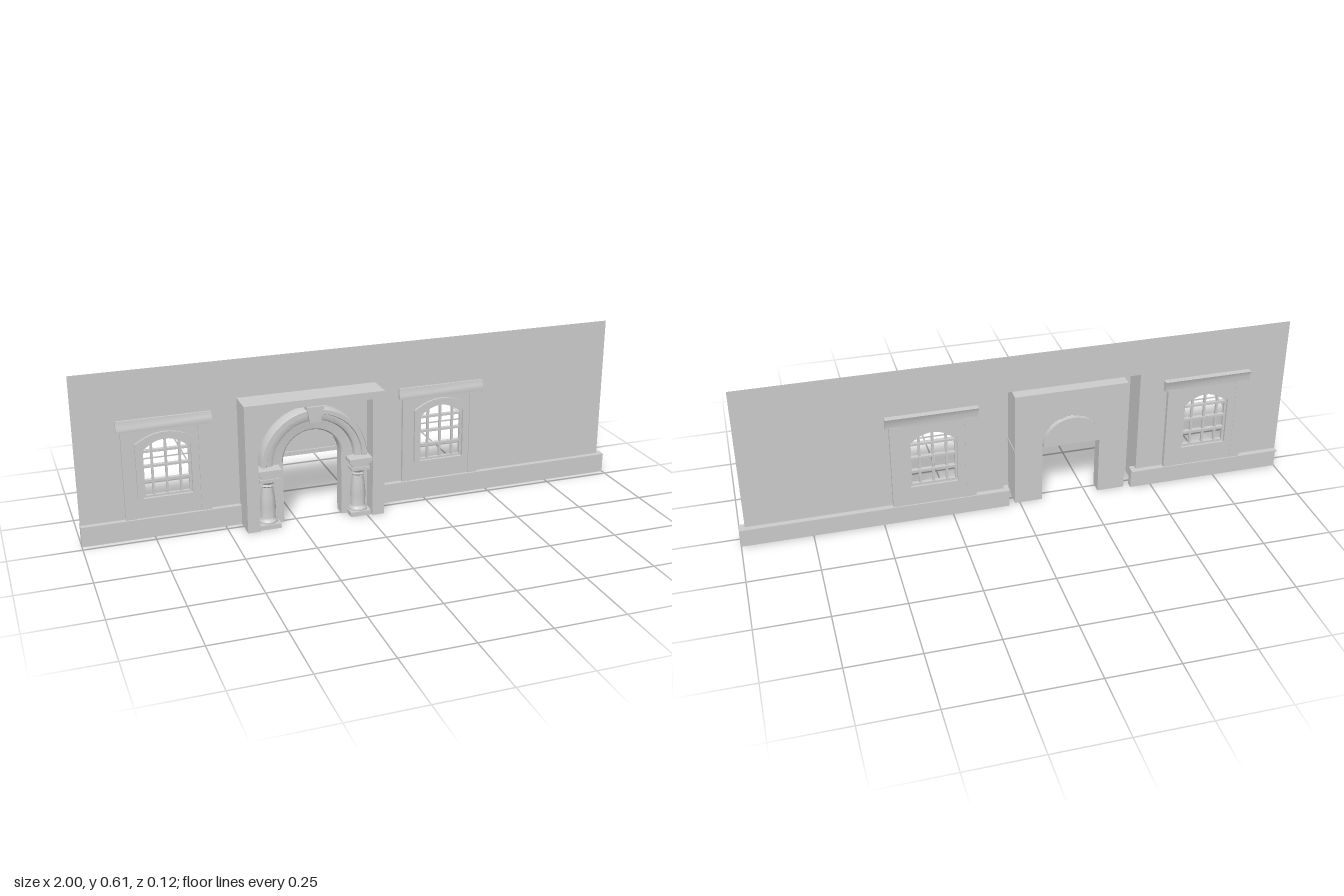
import * as THREE from 'three';
import { toCreasedNormals } from 'three/addons/utils/BufferGeometryUtils.js';

const material = new THREE.MeshStandardMaterial({ color: 0xcccccc, side: THREE.DoubleSide });
const WALL_Z = -0.038, DOOR_X = -0.19, WINDOWS = [-0.695, 0.315];

function add(parent, name, geometry, x = 0, y = 0, z = 0) {
  const mesh = new THREE.Mesh(geometry, material);
  mesh.name = name;
  mesh.position.set(x, y, z);
  parent.add(mesh);
  return mesh;
}

// Box given by its limits
function block(parent, name, x0, x1, y0, y1, z0, z1) {
  return add(parent, name, new THREE.BoxGeometry(x1 - x0, y1 - y0, z1 - z0),
    (x0 + x1) / 2, (y0 + y1) / 2, (z0 + z1) / 2);
}

const poly = (pts) => new THREE.Shape(pts.map(([x, y]) => new THREE.Vector2(x, y)));
const rect = (x0, x1, y0, y1) => poly([[x0, y0], [x1, y0], [x1, y1], [x0, y1]]);

// Flat shape given thickness from z0 to z1
function slab(shape, z0, z1) {
  const g = new THREE.ExtrudeGeometry(shape, { depth: z1 - z0, bevelEnabled: false, curveSegments: 16 });
  g.translate(0, 0, z0);
  return toCreasedNormals(g, 0.6);
}

// Open sheet that follows a line in x,y and runs from z0 to z1
function sheet(pts, z0, z1) {
  const v = [];
  for (let i = 0; i < pts.length - 1; i++) {
    const [ax, ay] = pts[i], [bx, by] = pts[i + 1];
    v.push(ax, ay, z0, ax, ay, z1, bx, by, z1, ax, ay, z0, bx, by, z1, bx, by, z0);
  }
  const g = new THREE.BufferGeometry();
  g.setAttribute('position', new THREE.Float32BufferAttribute(v, 3));
  g.computeVertexNormals();
  return g;
}

// Opening with a shallow curved head
function windowOutline(cx, half, y0, spring, top) {
  const pts = [[cx - half, y0], [cx + half, y0]];
  for (let i = 0; i <= 12; i++) {
    const t = 1 - i / 6;
    pts.push([cx + half * t, spring + (top - spring) * (1 - t * t)]);
  }
  return poly(pts);
}

// Round-headed outline of the doorway
function doorOutline(r, spring, y0) {
  const pts = [[-r, y0], [r, y0]];
  for (let i = 0; i <= 24; i++) {
    const a = Math.PI * i / 24;
    pts.push([r * Math.cos(a), spring + r * Math.sin(a)]);
  }
  return poly(pts);
}

function makeWindow(cx) {
  const g = new THREE.Group();
  g.name = 'window';
  const hole = () => windowOutline(0, 0.085, 0.145, 0.325, 0.362);

  // Raised surround on both faces of the wall
  const surround = rect(-0.15, 0.15, 0.068, 0.4);
  surround.holes.push(hole());
  add(g, 'windowSurround', slab(surround, -0.053, -0.03));
  for (const s of [-1, 1]) {
    const [a, b] = [s * 0.113, s * 0.15].sort((p, q) => p - q);
    block(g, 'windowPilaster', a, b, 0.068, 0.395, -0.054, -0.026);
  }

  // Architrave round the opening
  const trim = windowOutline(0, 0.105, 0.145, 0.345, 0.382);
  trim.holes.push(windowOutline(0, 0.085, 0.147, 0.325, 0.362));
  add(g, 'windowArchitrave', slab(trim, -0.045, -0.021));

  // Moulded cap, profile in z,y run along x
  const cap = poly([[-0.053, 0.392], [-0.025, 0.392], [-0.024, 0.405], [-0.028, 0.415],
    [-0.03, 0.432], [-0.061, 0.432], [-0.054, 0.415]]);
  const capGeo = slab(cap, -0.163, 0.163);
  capGeo.rotateY(-Math.PI / 2);
  add(g, 'windowCap', capGeo);

  // Sash frame and glazing bars
  const sash = hole();
  sash.holes.push(windowOutline(0, 0.077, 0.153, 0.318, 0.353));
  add(g, 'sashFrame', slab(sash, -0.044, -0.032));
  for (const x of [-0.048, 0, 0.048])
    block(g, 'verticalGlazingBar', x - 0.004, x + 0.004, 0.15, x ? 0.345 : 0.358, -0.043, -0.034);
  for (const y of [0.205, 0.258, 0.313])
    block(g, 'horizontalGlazingBar', -0.08, 0.08, y - 0.004, y + 0.004, -0.047, -0.032);
  g.position.x = cx;
  return g;
}

function makeColumn(side) {
  const g = new THREE.Group();
  g.name = 'column';
  const step = (name, half, y0, y1) => block(g, name, -half, half, y0, y1, -half, half);
  step('columnPlinth', 0.038, 0, 0.017);
  const profile = [[0.034, 0.017], [0.034, 0.023], [0.028, 0.03], [0.026, 0.036], [0.028, 0.075],
    [0.025, 0.115], [0.02, 0.15], [0.025, 0.155], [0.022, 0.162], [0.033, 0.178]];
  const lathe = new THREE.LatheGeometry(profile.map(([r, y]) => new THREE.Vector2(r, y)), 20);
  add(g, 'columnShaft', toCreasedNormals(lathe, 0.6));
  step('capital', 0.034, 0.174, 0.186);
  step('impostBlock', 0.03, 0.186, 0.2);
  step('impostLedge', 0.037, 0.2, 0.208);
  step('impostTop', 0.043, 0.208, 0.222);
  g.position.set(side * 0.167, 0, 0.017);
  return g;
}

function makePortal() {
  const g = new THREE.Group();
  g.name = 'portal';
  const path = (half, top) => [[-half, 0], [-half, top], [half, top], [half, 0]];
  const outer = path(0.252, 0.466), inner = path(0.208, 0.44);

  // Hollow frame, open at the back
  add(g, 'portalOuterFrame', sheet(outer, WALL_Z, 0.062));
  add(g, 'portalFrameReturn', sheet(inner, -0.036, 0.062));
  add(g, 'portalFrontFrame', new THREE.ShapeGeometry(poly([...outer, ...inner.reverse()])), 0, 0, 0.062);

  // Recessed wall with the round-headed doorway
  const arch = [];
  for (let i = 0; i <= 24; i++) {
    const a = Math.PI * i / 24;
    arch.push([0.107 * Math.cos(a), 0.23 + 0.107 * Math.sin(a)]);
  }
  const panel = poly([[-0.208, 0], [-0.208, 0.44], [0.208, 0.44], [0.208, 0], [0.107, 0], ...arch, [-0.107, 0]]);
  add(g, 'portalPanel', slab(panel, -0.036, 0));

  // Moulded arch, profile in radius and depth
  const ring = [[0.107, -0.036], [0.107, 0.012], [0.112, 0.018], [0.145, 0.022], [0.15, 0.036],
    [0.158, 0.04], [0.172, 0.04], [0.175, 0.047], [0.19, 0.047], [0.194, 0.038], [0.194, 0]];
  const archGeo = new THREE.LatheGeometry(ring.map(([r, z]) => new THREE.Vector2(r, -z)),
    32, -Math.PI / 2, Math.PI);
  archGeo.rotateX(-Math.PI / 2);
  add(g, 'archMoulding', toCreasedNormals(archGeo, 0.5), 0, 0.23, 0);

  // Keystone
  add(g, 'keystone', slab(poly([[-0.02, 0.378], [0.02, 0.378], [0.027, 0.425], [-0.027, 0.425]]), 0, 0.056));
  block(g, 'keystoneCap', -0.03, 0.03, 0.423, 0.436, 0, 0.06);

  // Panel closing the head of the doorway
  const lunette = doorOutline(0.107, 0.23, 0.23);
  add(g, 'lunette', slab(lunette, -0.053, -0.038));
  block(g, 'transomBar', -0.107, 0.107, 0.23, 0.245, -0.053, -0.032);

  // Jambs and columns
  for (const s of [-1, 1]) {
    const [a, b] = [s * 0.107, s * 0.145].sort((p, q) => p - q);
    block(g, 'doorJamb', a, b, 0, 0.23, -0.036, 0.012);
    g.add(makeColumn(s));
  }
  g.position.x = DOOR_X;
  return g;
}

export function createModel() {
  const model = new THREE.Group();
  model.name = 'facade';

  // Thin wall with openings for the portal and windows
  const l = DOOR_X - 0.252, r = DOOR_X + 0.252;
  const wall = poly([[-1, 0], [l, 0], [l, 0.466], [r, 0.466], [r, 0], [0.98, 0], [0.98, 0.605], [-1, 0.605]]);
  for (const x of WINDOWS) wall.holes.push(windowOutline(x, 0.085, 0.145, 0.325, 0.362));
  add(model, 'wall', new THREE.ShapeGeometry(wall), 0, 0, WALL_Z);

  // Skirting with a thin ledge on each side of the portal
  for (const [x0, x1] of [[-1, l + 0.02], [r - 0.02, 1]]) {
    block(model, 'skirting', x0, x1, 0, 0.068, -0.047, -0.022);
    block(model, 'skirtingLedge', x0, x1, 0.068, 0.073, -0.058, -0.019);
  }

  for (const x of WINDOWS) model.add(makeWindow(x));
  model.add(makePortal());
  return model;
}
